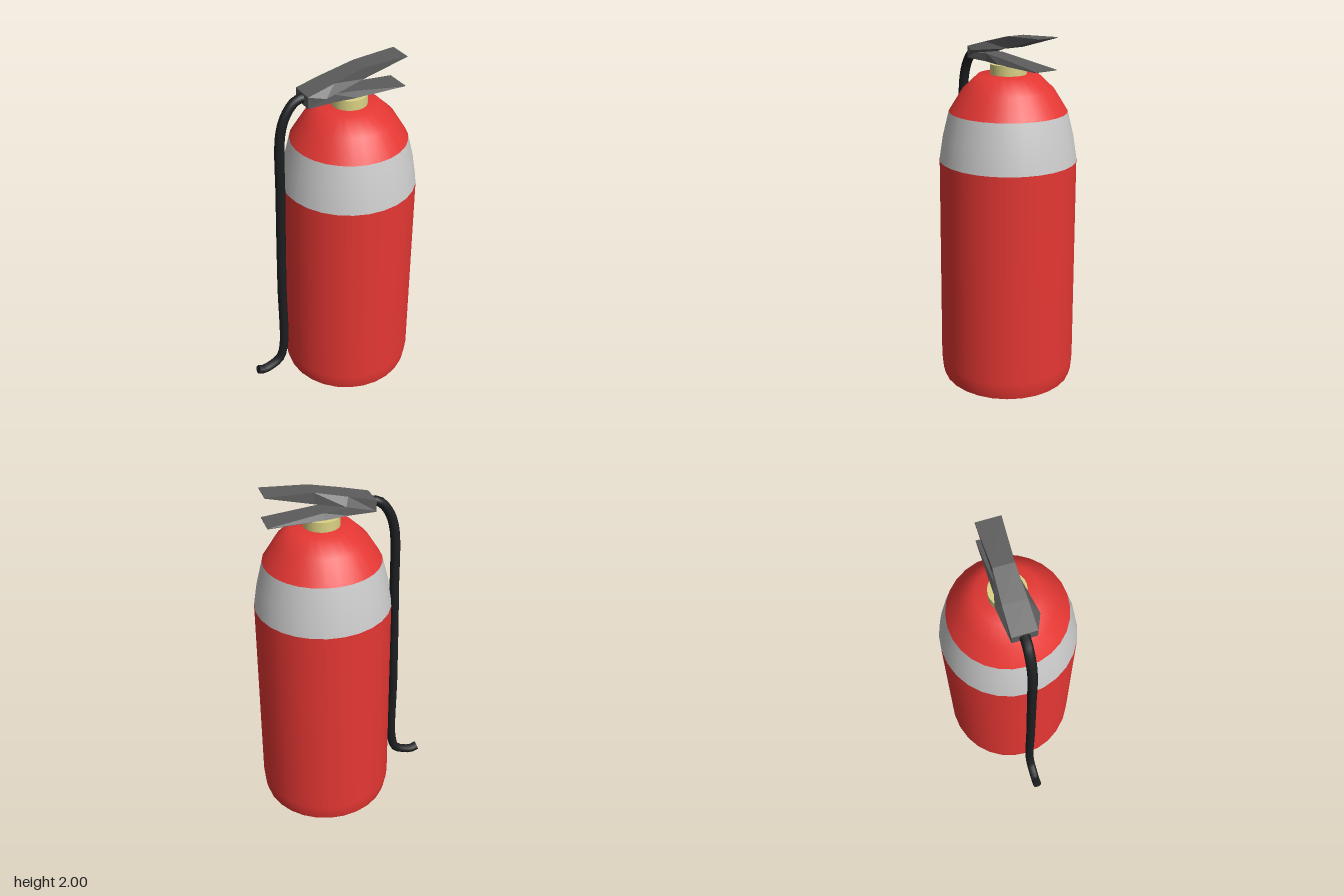
import * as THREE from 'three';

const mat = (color, extra = {}) => new THREE.MeshStandardMaterial({ color, ...extra });

function add(group, name, geometry, material) {
  const mesh = new THREE.Mesh(geometry, material);
  mesh.name = name;
  group.add(mesh);
  return mesh;
}

// Solid of revolution from [radius, y] pairs, listed bottom to top
const lathe = (profile, sides = 28) =>
  new THREE.LatheGeometry(profile.map(([r, y]) => new THREE.Vector2(r, y)), sides);

// Closed solid through four-cornered sections ordered along +x;
// corners: top back, top front, bottom front, bottom back
function loft(sections) {
  const positions = sections.flat(2);
  const index = [];
  const quad = (a, b, c, d) => index.push(a, b, c, a, c, d);
  for (let s = 0; s < sections.length - 1; s++) {
    for (let k = 0; k < 4; k++) {
      const a = s * 4 + k, b = s * 4 + (k + 1) % 4;
      quad(a, b, b + 4, a + 4);
    }
  }
  const e = (sections.length - 1) * 4;
  quad(3, 2, 1, 0);
  quad(e, e + 1, e + 2, e + 3);
  const geometry = new THREE.BufferGeometry();
  geometry.setAttribute('position', new THREE.Float32BufferAttribute(positions, 3));
  geometry.setIndex(index);
  geometry.computeVertexNormals();
  return geometry;
}

// Section in one x plane: top y and half width, bottom y and half width
const section = (x, yt, wt, yb, wb) => [[x, yt, -wt], [x, yt, wt], [x, yb, wb], [x, yb, -wb]];

export function createModel() {
  const model = new THREE.Group();
  model.name = 'fireExtinguisher';
  const red = mat(0xe53733);
  const black = mat(0x1c1e20);
  const iron = mat(0x5c5c5c, { flatShading: true });

  // Tank: base, lower body, pale band and domed shoulder
  const tank = new THREE.Group();
  tank.name = 'tank';
  tank.position.x = 0.125;
  model.add(tank);
  add(tank, 'base', lathe([[0, 0], [0.375, 0]]), red);
  add(tank, 'body', lathe([[0.375, 0], [0.385, 0.04], [0.391, 0.1], [0.381, 1.31]]), red);
  add(tank, 'band', lathe([[0.381, 1.31], [0.36, 1.44], [0.325, 1.58]]), mat(0xcccccc));
  add(tank, 'shoulder', lathe([[0.325, 1.58], [0.25, 1.7], [0.165, 1.78], [0, 1.78]]), red);

  // Valve neck
  const neck = add(tank, 'neck', new THREE.CylinderGeometry(0.1, 0.1, 0.06, 24), mat(0xdbd284));
  neck.position.y = 1.805;

  // Squeeze lever, flared unevenly near its pivot
  add(model, 'upperLever', loft([
    section(-0.155, 1.905, 0.067, 1.845, 0.067),
    [[0, 1.945, -0.064], [0, 1.945, 0.064], [-0.07, 1.893, 0.105], [0.02, 1.903, -0.095]],
    section(0.18, 1.988, 0.056, 1.925, 0.056),
    section(0.435, 2, 0.068, 1.996, 0.068),
  ]), iron);

  // Fixed carrying handle
  add(model, 'lowerHandle', loft([
    section(-0.155, 1.87, 0.065, 1.84, 0.067),
    section(0, 1.88, 0.055, 1.837, 0.06),
    section(0.13, 1.868, 0.055, 1.834, 0.072),
    section(0.43, 1.834, 0.072, 1.83, 0.072),
  ]), iron);

  // Hose hanging down the side and kicking outward at the bottom
  const path = new THREE.CatmullRomCurve3([
    [-0.14, 1.875], [-0.19, 1.868], [-0.245, 1.81], [-0.285, 1.7], [-0.3, 1.3],
    [-0.314, 0.7], [-0.322, 0.2], [-0.352, 0.115], [-0.41, 0.083], [-0.46, 0.072], [-0.5, 0.085],
  ].map(([x, y]) => new THREE.Vector3(x, y, 0)));
  add(model, 'hose', new THREE.TubeGeometry(path, 60, 0.027, 10), black);

  // Hose mouth
  const mouth = add(model, 'hoseMouth', new THREE.CircleGeometry(0.027, 10), black);
  mouth.position.copy(path.getPoint(1));
  mouth.lookAt(mouth.position.clone().add(path.getTangent(1)));

  return model;
}
